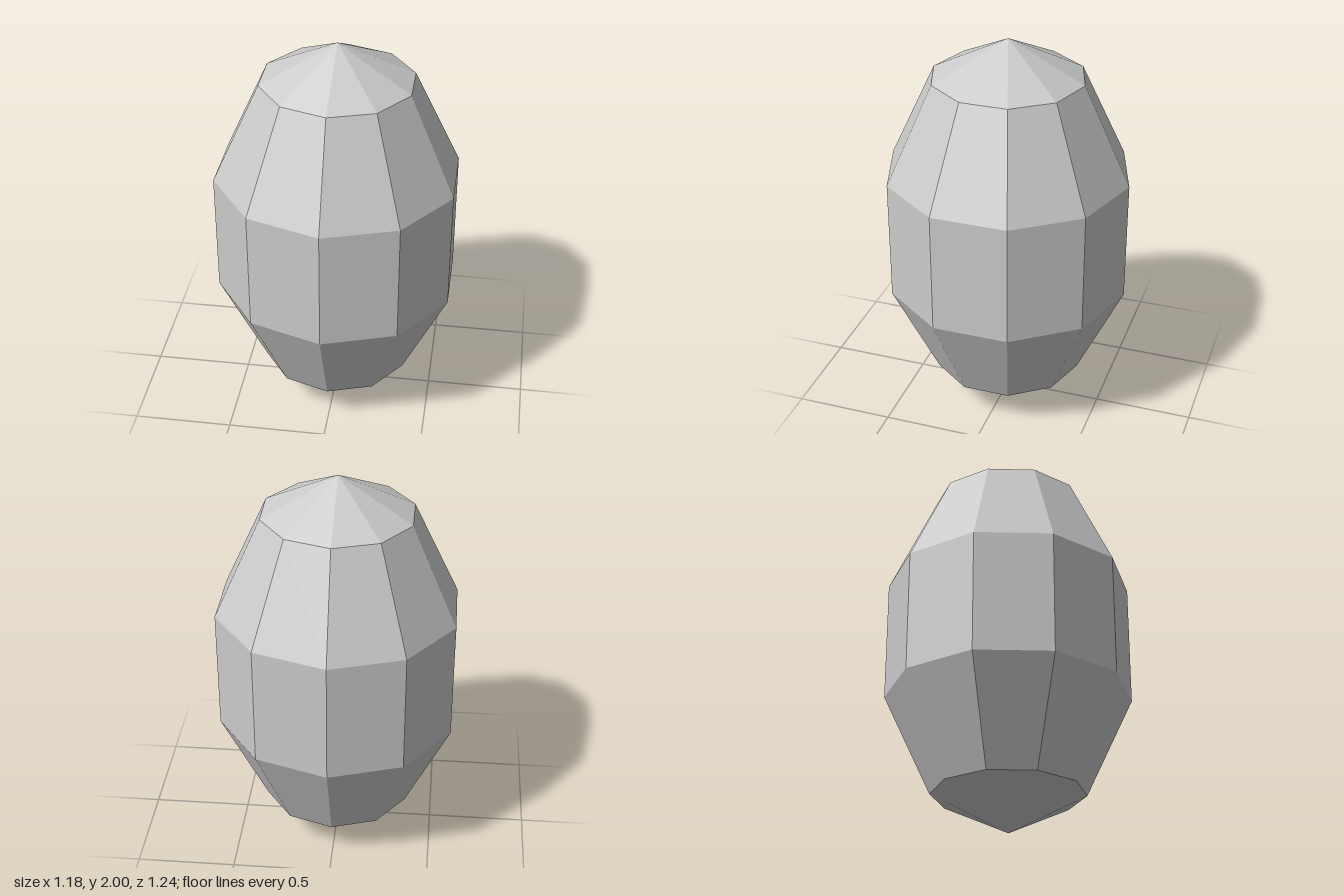
import * as THREE from 'three';

export function createModel() {
  const group = new THREE.Group();
  group.name = 'facetedEgg';

  // Ten-sided, five-band ellipsoid with a corner facing front and back
  const geometry = new THREE.SphereGeometry(1, 10, 5);
  geometry.rotateY(Math.PI / 2);
  geometry.scale(0.65, 1, 0.65);
  geometry.translate(0, 1, 0);

  const material = new THREE.MeshStandardMaterial({ color: 0xcccccc, flatShading: true });
  const body = new THREE.Mesh(geometry, material);
  body.name = 'body';
  group.add(body);
  return group;
}
